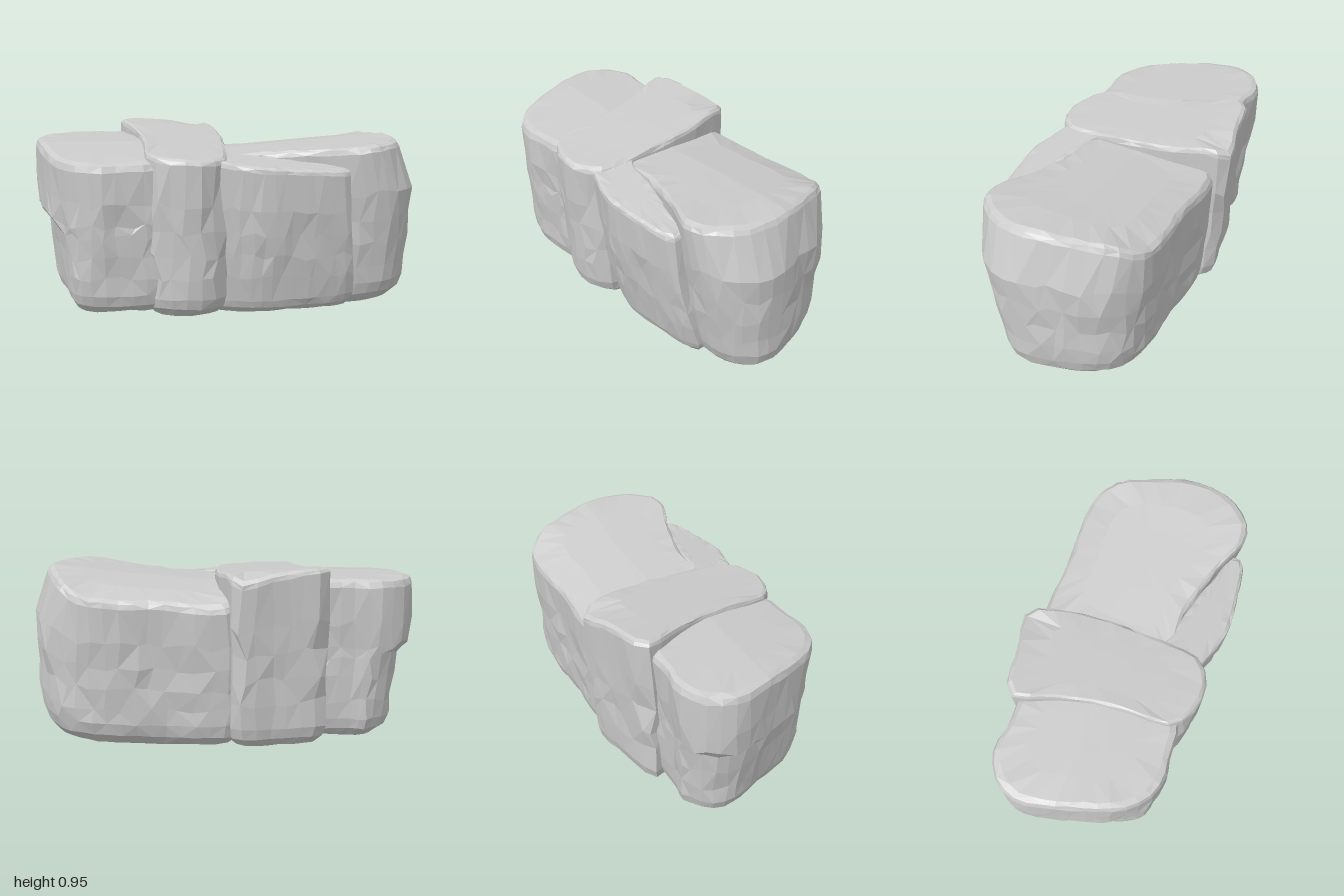
import * as THREE from 'three';

const material = new THREE.MeshStandardMaterial({ color: 0xcccccc, flatShading: true });
const clamp = THREE.MathUtils.clamp;

// Small seeded generator, gives -1..1
function seeded(seed) {
  let s = seed;
  return () => {
    s = (s * 16807) % 2147483647;
    return (s / 2147483647) * 2 - 1;
  };
}

// Rounded rim as [inset, lift] steps, from the flat side to the wall
function rim(radius, steps) {
  return Array.from({ length: steps + 1 }, (_, k) => {
    const a = (k / steps) * Math.PI / 2;
    return [radius * (1 - Math.sin(a)), radius * (1 - Math.cos(a))];
  });
}

// Boulder: a plan outline (x, z) stacked in rings from a floor to a top surface,
// with rounded rims, a warp and slight chiselled roughness.
function boulder({ name, outline, floor, top, rimLow, rimHigh, warp,
  shares = [0.27, 0.41, 0.56, 0.72], segments = 34, seed }) {
  const rand = seeded(seed);
  const curve = new THREE.CatmullRomCurve3(
    outline.map(([x, z]) => new THREE.Vector3(x, 0, z)), true, 'centripetal');
  const box = new THREE.Box3().setFromPoints(curve.getSpacedPoints(segments));
  const centre = curve.getSpacedPoints(segments).slice(1)
    .reduce((c, p) => c.add(p), new THREE.Vector3()).divideScalar(segments);
  const half = box.getSize(new THREE.Vector3()).multiplyScalar(0.5);

  // Each ring: [inset distance, share of the height, offset in y, pull to centre]
  const rings = [
    ...[1, 0.7, 0.35].map((pull) => [rimLow, 0, 0, pull]),
    ...rim(rimLow, 3).map(([inset, lift]) => [inset, 0, lift, 0]),
    ...shares.map((v) => [0, v, 0, 0]),
    ...rim(rimHigh, 2).reverse().map(([inset, lift]) => [inset, 1, -lift, 0]),
    ...[0.35, 0.7, 1].map((pull) => [rimHigh, 1, 0, pull]),
  ];

  const positions = [];
  const index = [];
  rings.forEach(([inset, share, lift, pull], k) => {
    const wall = share > 0 && share < 1;
    for (let i = 0; i < segments; i++) {
      const slide = wall ? rand() * 0.32 : 0;
      const q = curve.getPointAt(((i + slide + segments) / segments) % 1);
      const out = q.clone().sub(centre).normalize();
      q.x = centre.x + (q.x - centre.x) * (1 - inset / half.x);
      q.z = centre.z + (q.z - centre.z) * (1 - inset / half.z);
      q.lerp(centre, pull);
      const low = floor(q.x, q.z);
      const high = top(q.x, q.z);
      q.y = low + (high - low) * share + lift;
      if (pull === 0) {
        q.y += rand() * (wall ? 0.02 : 0.004);
        const bump = Math.sin(q.x * 13 + q.y * 9 + seed) * Math.sin(q.z * 11 - q.y * 14);
        q.addScaledVector(out, wall ? bump * 0.008 + rand() * 0.007 : rand() * 0.004);
      }
      warp(q, clamp((q.y - low) / (high - low), 0, 1));
      positions.push(q.x, q.y, q.z);
      if (k === 0) continue;
      const j = (i + 1) % segments;
      const a = (k - 1) * segments + i, b = (k - 1) * segments + j;
      const c = k * segments + i, e = k * segments + j;
      if (k === 1) index.push(a, c, e);
      else if (k === rings.length - 1) index.push(a, c, b);
      else if ((i + k) % 2) index.push(a, c, b, b, c, e);
      else index.push(a, c, e, a, e, b);
    }
  });

  const indexed = new THREE.BufferGeometry();
  indexed.setAttribute('position', new THREE.Float32BufferAttribute(positions, 3));
  indexed.setIndex(index);
  const geometry = indexed.toNonIndexed();
  geometry.computeVertexNormals();
  const mesh = new THREE.Mesh(geometry, material);
  mesh.name = name;
  return mesh;
}

// Narrows a stone towards its foot, separately on the front and the back
const taper = (front, back) => (q, v) => {
  q.z *= 1 - (q.z > 0 ? front * Math.pow(1 - v, 1.4) : back * (1 - v));
};

export function createModel() {
  const group = new THREE.Group();
  group.name = 'rockFormation';

  // Large stone on the model's left, with a sloped end
  const lean = taper(0.38, 0.11);
  group.add(boulder({
    name: 'largeStone', seed: 11, segments: 46, rimLow: 0.13, rimHigh: 0.03,
    outline: [[-0.12, -0.4], [0.02, -0.45], [0.12, -0.45], [0.3, -0.45], [0.47, -0.475],
      [0.72, -0.455], [0.86, -0.35], [0.97, -0.1], [1, 0.05], [0.985, 0.2], [0.88, 0.34],
      [0.7, 0.37], [0.45, 0.29], [0.2, 0.24], [-0.12, 0.24]],
    floor: (x, z) => 0.005 + 0.05 * x * x + 0.06 * z * z,
    top: (x, z) => 0.84 + 0.075 * clamp(x / 0.85, 0, 1)
      - 0.12 * clamp(-z - 0.05, 0, 1) - 0.35 * clamp(-z - 0.36, 0, 1),
    warp: (q, v) => {
      lean(q, v);
      const end = clamp((q.x - 0.6) / 0.3, 0, 1);
      q.x -= end * (0.09 * clamp((v - 0.7) / 0.3, 0, 1) + 0.03 * (1 - v));
    },
  }));

  // Slab leaning on the front of the large stone, its foot tucked under
  group.add(boulder({
    name: 'frontSlab', seed: 23, rimLow: 0.08, rimHigh: 0.025,
    outline: [[-0.04, 0.16], [0.03, 0.21], [0.25, 0.24], [0.45, 0.29], [0.65, 0.34],
      [0.655, 0.38], [0.62, 0.41], [0.4, 0.455], [0.22, 0.475], [0.02, 0.43], [-0.05, 0.4]],
    floor: (x) => 0.015 + 0.05 * x,
    top: (x, z) => 0.85 - 0.075 * x - 0.1 * (z - 0.33),
    warp: (q, v) => {
      q.z -= 0.14 * Math.pow(1 - v, 1.5);
      if (q.x > 0.4) q.x += 0.05 * (0.7 - v);
    },
  }));

  // Tall wedge in the middle, its top rising to the back
  group.add(boulder({
    name: 'middleStone', seed: 37, rimLow: 0.11, rimHigh: 0.025,
    outline: [[-0.565, -0.35], [-0.54, -0.385], [-0.3, -0.45], [-0.13, -0.495], [-0.1, -0.48],
      [-0.06, -0.38], [0, -0.15], [0.02, 0.1], [0.02, 0.4], [-0.02, 0.44], [-0.15, 0.495],
      [-0.34, 0.44], [-0.37, 0.4], [-0.41, 0.1], [-0.48, -0.15]],
    floor: (x, z) => 0.012 + 0.08 * z * z,
    top: (x, z) => 0.89 - 0.08 * z - 0.07 * x - 0.6 * clamp(-z - 0.41, 0, 1),
    warp: taper(0.12, 0.12),
  }));

  // Stone on the model's right, undercut at its outer end by a notch
  const foot = taper(0.12, 0.18);
  group.add(boulder({
    name: 'rightStone', seed: 53, segments: 40, rimLow: 0.11, rimHigh: 0.04,
    shares: [0.25, 0.39, 0.53, 0.6, 0.74],
    outline: [[-1, -0.14], [-0.97, -0.23], [-0.91, -0.29], [-0.82, -0.335], [-0.68, -0.325],
      [-0.52, -0.33], [-0.22, -0.26], [-0.25, 0.38], [-0.36, 0.44], [-0.5, 0.46],
      [-0.65, 0.475], [-0.78, 0.41], [-0.86, 0.3], [-0.92, 0.16], [-0.98, -0.01]],
    floor: () => 0.045,
    top: (x, z) => 0.89 - 0.12 * clamp(z - 0.05, 0, 1),
    warp: (q, v) => {
      foot(q, v);
      const end = clamp((-0.7 - q.x) / 0.2, 0, 1);
      if (q.y < 0.52) q.x += end * (0.05 + 0.09 * (0.52 - q.y));
    },
  }));

  return group;
}
